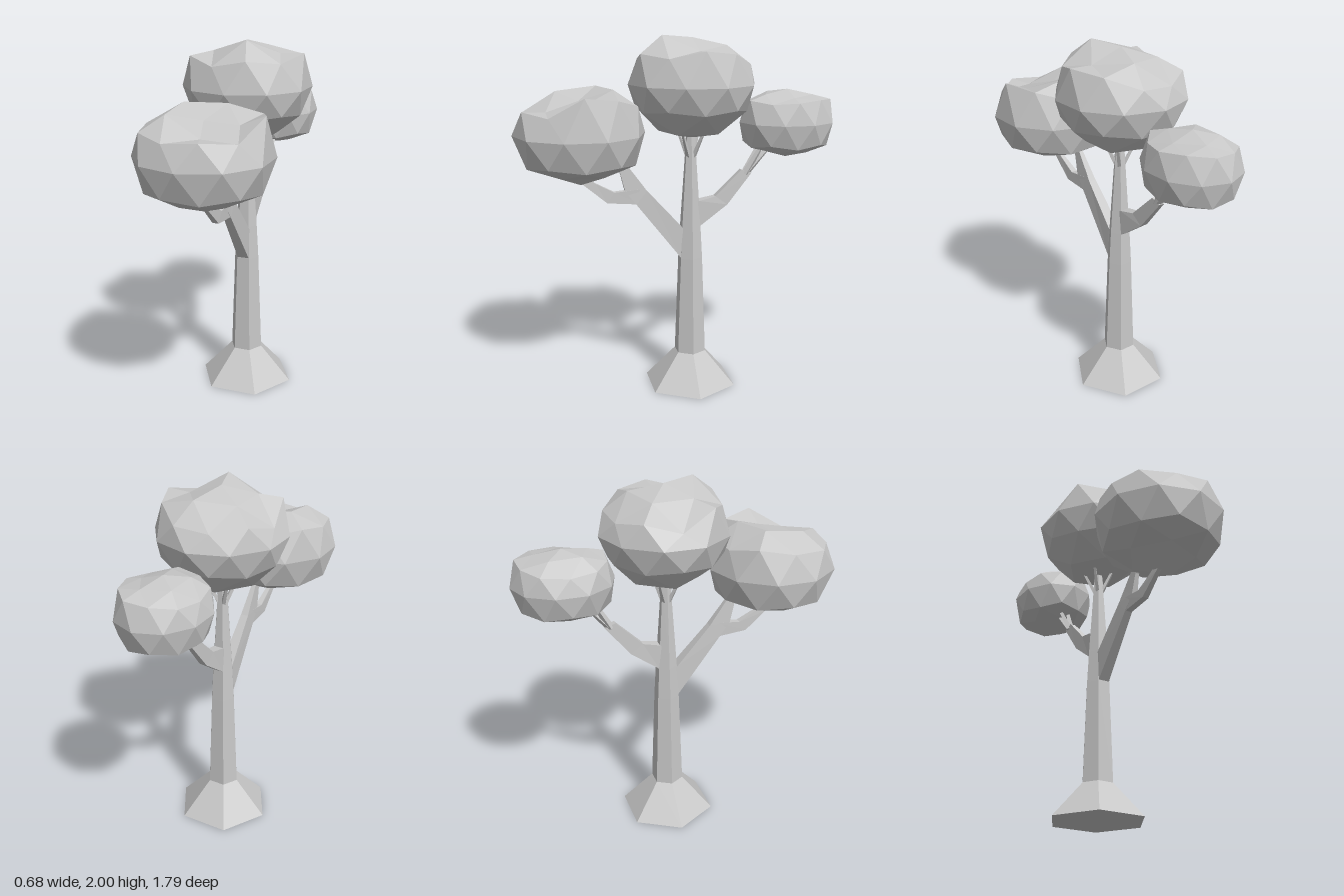
import * as THREE from 'three';

const grey = new THREE.MeshStandardMaterial({ color: 0xc8c8c8 });
grey.name = 'plain grey';

// Gives every face its own flat normal
function facet(geometry) {
  const flat = geometry.index ? geometry.toNonIndexed() : geometry;
  flat.computeVertexNormals();
  return flat;
}

function add(group, name, geometry) {
  const mesh = new THREE.Mesh(facet(geometry), grey);
  mesh.name = name;
  group.add(mesh);
}

// Four-sided limb through stations [lowZ, lowY, highZ, highY, halfWidth, x]
function limb(stations, dir) {
  const loops = stations.map(([z0, y0, z1, y1, w, x = 0]) => [
    [x - w * dir, y0, z0], [x + w * dir, y0, z0],
    [x + w * dir, y1, z1], [x - w * dir, y1, z1]]);
  const out = [];
  const quad = (a, b, c, d) => out.push(...a, ...b, ...c, ...a, ...c, ...d);
  for (let s = 0; s < loops.length - 1; s++) {
    const a = loops[s], b = loops[s + 1];
    for (let i = 0; i < 4; i++) {
      const j = (i + 1) % 4;
      quad(a[i], a[j], b[j], b[i]);
    }
  }
  const [p, q, r, t] = loops[0];
  quad(t, r, q, p);
  quad(...loops[loops.length - 1]);
  const g = new THREE.BufferGeometry();
  g.setAttribute('position', new THREE.Float32BufferAttribute(out, 3));
  return g;
}

// Thin tapering twig between two points
function twig(from, to, r0, r1) {
  const a = new THREE.Vector3(...from), b = new THREE.Vector3(...to);
  const d = b.clone().sub(a);
  const g = new THREE.CylinderGeometry(r1, r0, d.length(), 4);
  g.applyQuaternion(new THREE.Quaternion().setFromUnitVectors(
    new THREE.Vector3(0, 1, 0), d.normalize()));
  const m = a.add(b).multiplyScalar(0.5);
  return g.translate(m.x, m.y, m.z);
}

// Faceted crown: an upright icosphere whose rings are set to given heights
function crown({ z, rx, rz, top, inner, outer, mid, low }) {
  const g = new THREE.IcosahedronGeometry(1, 1);
  g.rotateX(-Math.atan((1 + Math.sqrt(5)) / 2));
  const p = g.attributes.position;
  // Turn so that an upper corner lies on +x
  let turn = 0;
  for (let i = 0; i < p.count; i++) {
    if (Math.abs(p.getY(i) - 0.447) < 0.02) turn = Math.atan2(p.getZ(i), p.getX(i));
  }
  g.rotateY(turn);
  for (let i = 0; i < p.count; i++) {
    const x = p.getX(i), u = p.getY(i), w = p.getZ(i);
    const deg = (Math.atan2(w, x) * 180 / Math.PI + 360) % 360;
    let y = mid;
    if (u > 0.95) y = top;
    else if (u > 0.7) y = inner[Math.round(deg / 72) % 5];
    else if (u > 0.2) y = outer[Math.round(deg / 36) % 10];
    else if (u < -0.95) y = low[2];
    else if (u < -0.7) y = low[1];
    else if (u < -0.2) y = low[0] + (u < -0.5 ? -0.015 : 0.005);
    p.setXYZ(i, x * rx, y, z + w * rz);
  }
  return g;
}

export function createModel() {
  const tree = new THREE.Group();
  tree.name = 'tree';
  const trunkZ = -0.07;

  // Six-sided trunk with flared foot
  const profile = [[0, 0], [0.27, 0], [0.092, 0.195], [0.071, 0.76], [0.06, 0.95],
    [0.029, 1.4], [0.024, 1.46], [0, 1.46]].map(([r, y]) => new THREE.Vector2(r, y));
  add(tree, 'trunk', new THREE.LatheGeometry(profile, 6, Math.PI / 6).translate(0, 0, trunkZ));

  // Front branch and its fork
  add(tree, 'frontBranch', limb([
    [-0.03, 0.74, -0.03, 0.93, 0.033],
    [-0.01, 0.765, -0.015, 0.945, 0.033],
    [0.24, 1.085, 0.18, 1.16, 0.022],
    [0.30, 1.16, 0.22, 1.215, 0.018],
    [0.33, 1.28, 0.29, 1.31, 0.012],
    [0.37, 1.36, 0.34, 1.37, 0.008]], 1));
  add(tree, 'frontFork', limb([
    [0.22, 1.085, 0.22, 1.17, 0.02],
    [0.40, 1.10, 0.36, 1.157, 0.018],
    [0.52, 1.20, 0.46, 1.21, 0.013],
    [0.59, 1.26, 0.55, 1.27, 0.008]], 1));

  // Back branch with paired tips
  add(tree, 'backBranch', limb([
    [-0.10, 0.93, -0.10, 1.08, 0.03],
    [-0.12, 0.945, -0.115, 1.09, 0.03],
    [-0.28, 1.06, -0.21, 1.11, 0.022],
    [-0.42, 1.235, -0.36, 1.255, 0.016]], -1));
  for (const side of [-1, 1]) {
    add(tree, 'backTwig', twig([side * 0.006, 1.23, -0.385], [side * 0.03, 1.42, -0.49], 0.022, 0.01));
    add(tree, 'backTwig', twig([side * 0.006, 1.24, -0.40], [side * 0.015, 1.4, -0.54], 0.016, 0.008));
    // Twigs fanning out at the top of the trunk
    for (const dz of [-1, 1]) {
      add(tree, 'topTwig', twig([side * 0.012, 1.34, trunkZ + dz * 0.014],
        [side * 0.07, 1.5, trunkZ + dz * 0.065], 0.014, 0.008));
    }
  }

  // Crowns
  add(tree, 'middleCrown', crown({
    z: -0.077, rx: 0.353, rz: 0.353, top: 1.985,
    inner: [1.92, 2.0, 1.935, 1.93, 1.945],
    outer: [1.925, 1.885, 1.905, 1.87, 1.91, 1.81, 1.86, 1.83, 1.845, 1.905],
    mid: 1.74, low: [1.61, 1.48, 1.445] }));
  add(tree, 'frontCrown', crown({
    z: 0.54, rx: 0.356, rz: 0.356, top: 1.66,
    inner: [1.65, 1.61, 1.70, 1.725, 1.72],
    outer: [1.705, 1.6, 1.62, 1.6, 1.62, 1.63, 1.66, 1.62, 1.635, 1.68],
    mid: 1.485, low: [1.335, 1.27, 1.205] }));
  add(tree, 'backCrown', crown({
    z: -0.622, rx: 0.236, rz: 0.273, top: 1.70,
    inner: [1.66, 1.675, 1.68, 1.675, 1.67],
    outer: [1.64, 1.63, 1.645, 1.63, 1.62, 1.61, 1.62, 1.635, 1.645, 1.65],
    mid: 1.52, low: [1.4, 1.355, 1.32] }));

  return tree;
}
